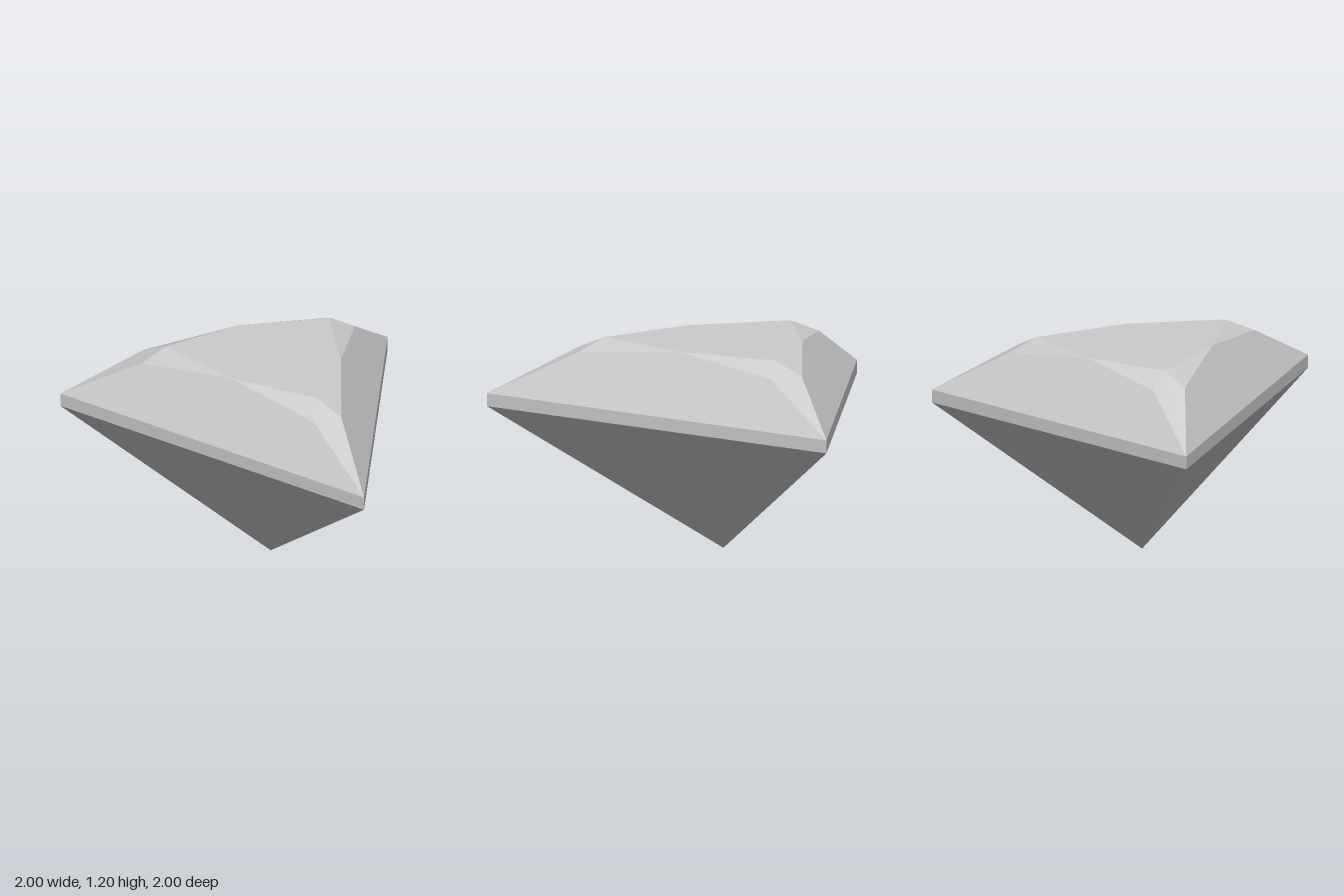
import * as THREE from 'three';

const APEX_Y = 0, GIRDLE_LOW = 0.79, GIRDLE_TOP = 0.865, SHOULDER_Y = 1.13, TABLE_Y = 1.203;

// Corners of the triangular outline as [x, z]: front, back left, back right
const corners = [[0, 1], [1, -1], [-1, -1]];

export function createModel() {
  const stone = new THREE.MeshStandardMaterial({ color: 0xcccccc });
  stone.name = 'pale grey stone';
  const gem = new THREE.Group();
  gem.name = 'triangularGem';

  // Point inside the outline, weighted between corner i, the next one and the one before it
  const point = (i, y, own, next, prev) => {
    const [a, b, c] = [0, 1, 2].map((k) => corners[(i + k) % 3]);
    return [0, 1].map((k) => a[k] * own + b[k] * next + c[k] * prev).toSpliced(1, 0, y);
  };
  const low = (i) => point(i, GIRDLE_LOW, 1, 0, 0);
  const top = (i) => point(i, GIRDLE_TOP, 1, 0, 0);
  const shoulderNext = (i) => point(i, SHOULDER_Y, 0.74, 0.172, 0.088);
  const shoulderPrev = (i) => point(i, SHOULDER_Y, 0.74, 0.088, 0.172);
  const tableCorner = (i) => point(i, TABLE_Y, 2 / 3, 1 / 6, 1 / 6);
  const tableMiddle = (i) => point(i, TABLE_Y, 4 / 9, 4 / 9, 1 / 9);
  const apex = [0, APEX_Y, -1 / 3];

  // Flat facets, each a convex polygon split into a fan
  const addFacets = (name, polygons) => {
    const positions = [];
    for (const p of polygons) {
      for (let k = 1; k < p.length - 1; k++) positions.push(...p[0], ...p[k], ...p[k + 1]);
    }
    const geometry = new THREE.BufferGeometry();
    geometry.setAttribute('position', new THREE.Float32BufferAttribute(positions, 3));
    geometry.computeVertexNormals();
    const mesh = new THREE.Mesh(geometry, stone);
    mesh.name = name;
    gem.add(mesh);
  };

  const sides = [0, 1, 2];

  // Pointed underside and the narrow upright band around the widest part
  addFacets('pavilion', sides.map((i) => [apex, low(i + 1), low(i)]));
  addFacets('girdle', sides.map((i) => [low(i), low(i + 1), top(i + 1), top(i)]));

  // Large sloping faces and the narrow kites at the corners
  addFacets('crownSides', sides.map((i) => [
    tableMiddle(i), shoulderNext(i), top(i), top(i + 1), shoulderPrev(i + 1),
  ]));
  addFacets('cornerKites', sides.map((i) => [
    top(i), shoulderNext(i), tableCorner(i), shoulderPrev(i),
  ]));

  // Small triangles bordering the table
  addFacets('starFacets', sides.flatMap((i) => [
    [shoulderNext(i), tableMiddle(i), tableCorner(i)],
    [shoulderPrev(i + 1), tableCorner(i + 1), tableMiddle(i)],
  ]));

  // Flat six-sided top
  addFacets('table', [sides.flatMap((i) => [tableCorner(i), tableMiddle(i)])]);

  return gem;
}
